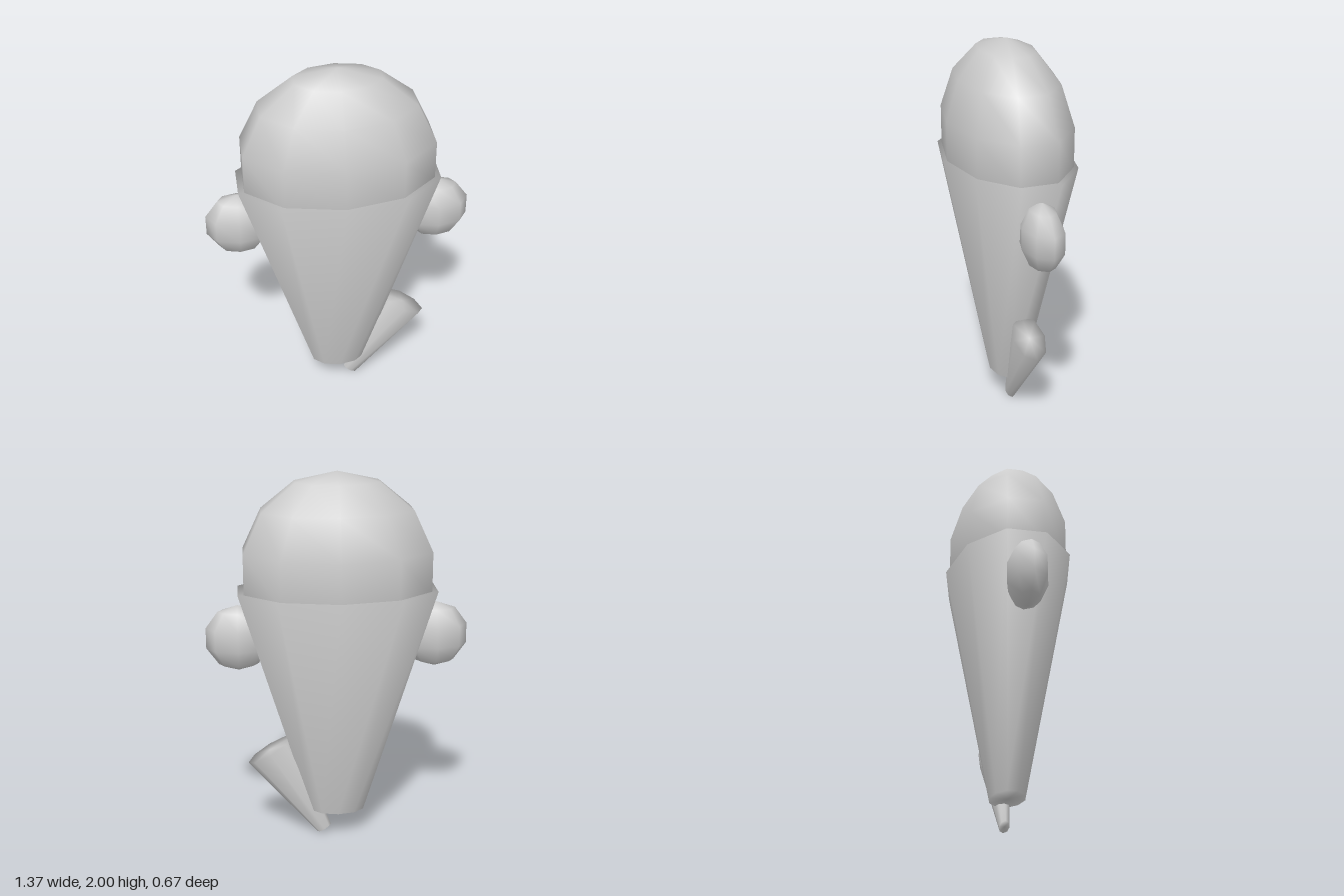
import * as THREE from 'three';
import { mergeVertices } from 'three/addons/utils/BufferGeometryUtils.js';

const FLATTEN = 0.62; // every part is squashed front to back

// Weld the seams and caps so that the shading runs smoothly over every edge
function smooth(geometry) {
  geometry.deleteAttribute('normal');
  geometry.deleteAttribute('uv');
  const welded = mergeVertices(geometry, 1e-4);
  welded.computeVertexNormals();
  return welded;
}

export function createModel() {
  const model = new THREE.Group();
  const material = new THREE.MeshStandardMaterial({ color: 0xcccccc });

  const add = (name, geometry, x, y) => {
    const mesh = new THREE.Mesh(smooth(geometry), material);
    mesh.name = name;
    mesh.position.set(x, y, 0);
    model.add(mesh);
    return mesh;
  };

  // Tapered ten-sided body, narrow at the bottom
  add('body', new THREE.CylinderGeometry(0.54, 0.148, 1.245, 10).scale(1, 1, FLATTEN), 0, 0.7675);

  // Domed head sunk into the body
  add('head', new THREE.SphereGeometry(0.52, 10, 7).rotateY(Math.PI / 2).scale(1, 1, FLATTEN), 0, 1.48);

  // Round side knobs
  for (const [name, side] of [['leftKnob', 1], ['rightKnob', -1]]) {
    add(name, new THREE.SphereGeometry(0.176, 8, 5).scale(1, 1, FLATTEN), side * 0.517, 1.137);
  }

  // Slanted cone at the lower left, tip pointing down
  const cone = add('slantedCone', new THREE.CylinderGeometry(0.138, 0.043, 0.558, 8).scale(1, 1, FLATTEN), 0.217, 0.262);
  cone.rotation.z = -0.547;

  return model;
}
